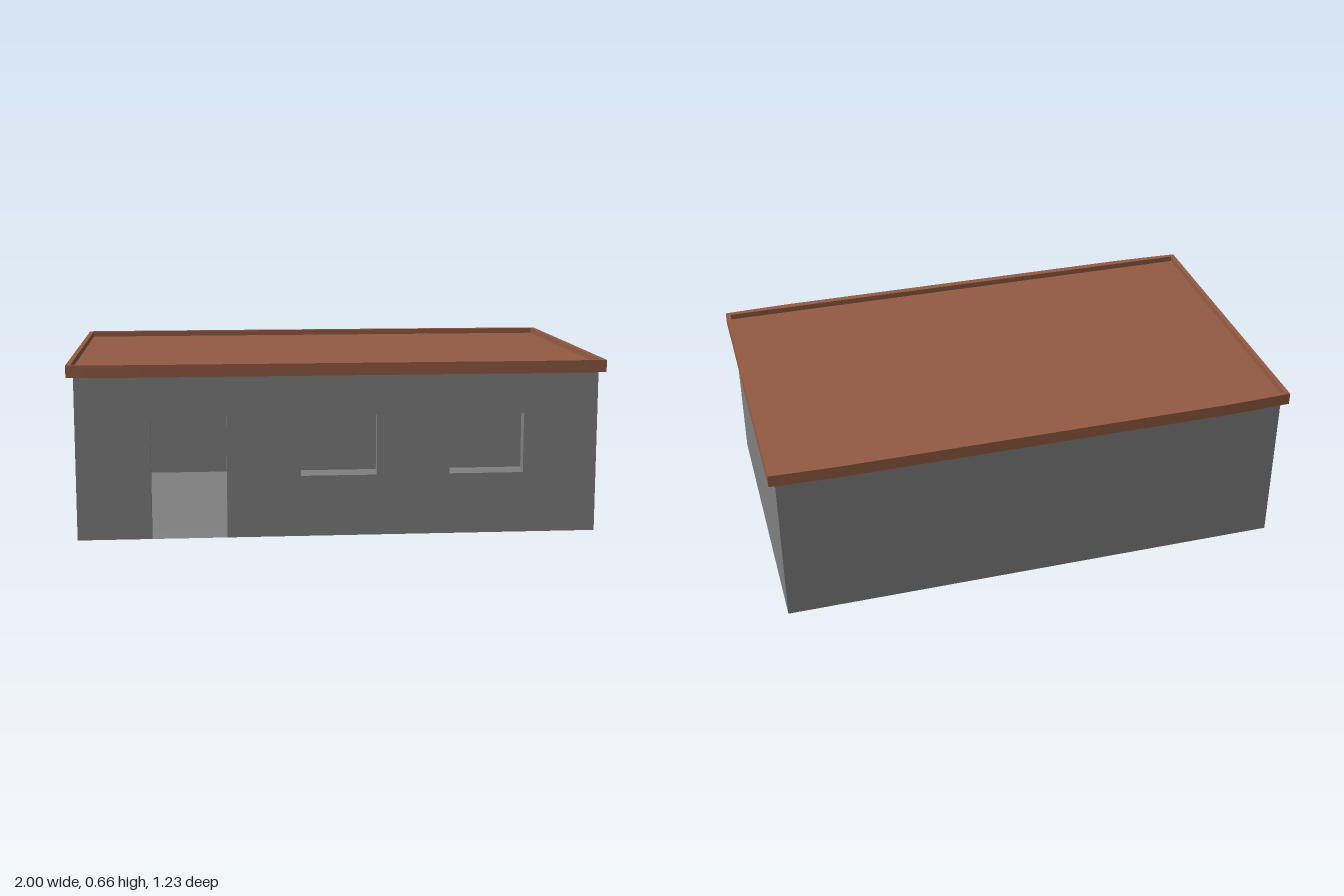
import * as THREE from 'three';

const W = 0.975, D = 0.585, H = 0.61, T = 0.035, FLOOR = 0.022;
const DOOR = { x0: -0.70, x1: -0.42, top: 0.457 };
const WINDOWS = [[-0.145, 0.14], [0.415, 0.695]];

const polygon = (points, Kind = THREE.Shape) =>
  new Kind(points.map(([x, y]) => new THREE.Vector2(x, y)));
const rect = (x0, y0, x1, y1) => [[x0, y0], [x1, y0], [x1, y1], [x0, y1]];
const extrude = (shape, depth) =>
  new THREE.ExtrudeGeometry(shape, { depth, bevelEnabled: false });

export function createModel() {
  const model = new THREE.Group();
  model.name = 'house';
  const wallGrey = new THREE.MeshStandardMaterial({ color: 0x808080 });
  wallGrey.name = 'wallGrey';
  const roofBrown = new THREE.MeshStandardMaterial({ color: 0x945b42 });
  roofBrown.name = 'roofBrown';

  const add = (name, geometry, material, x = 0, y = 0, z = 0) => {
    const mesh = new THREE.Mesh(geometry, material);
    mesh.name = name;
    mesh.position.set(x, y, z);
    model.add(mesh);
    return mesh;
  };

  // Front wall with a door notch and two window holes
  const front = polygon([
    [-W, 0], [DOOR.x0, 0], [DOOR.x0, DOOR.top], [DOOR.x1, DOOR.top],
    [DOOR.x1, 0], [W, 0], [W, H], [-W, H],
  ]);
  for (const [x0, x1] of WINDOWS) {
    front.holes.push(polygon(rect(x0, 0.23, x1, 0.457), THREE.Path));
  }
  add('frontWall', extrude(front, T), wallGrey, 0, 0, D - T);

  // Plain back and side walls
  add('backWall', new THREE.BoxGeometry(2 * W, H, T), wallGrey, 0, H / 2, -D + T / 2);
  for (const [name, s] of [['leftWall', 1], ['rightWall', -1]]) {
    add(name, new THREE.BoxGeometry(T, H, 2 * (D - T)), wallGrey, s * (W - T / 2), H / 2, 0);
  }

  // Floor slab inside the walls
  add('floor', new THREE.BoxGeometry(2 * (W - T), FLOOR, 2 * (D - T)), wallGrey, 0, FLOOR / 2, 0);

  // Sloped threshold in the doorway: a wedge extruded along x
  const ramp = extrude(polygon([[0, 0], [T, 0], [T, FLOOR]]), DOOR.x1 - DOOR.x0);
  ramp.rotateY(Math.PI / 2);
  add('doorRamp', ramp, wallGrey, DOOR.x0, 0, D);

  // Roof outline: long edges bow out slightly towards the middle
  const edge = [[1, 0.605], [0.93, 0.608], [0.84, 0.611], [0.73, 0.614]];
  const back = [...edge, ...edge.map(([x, z]) => [-x, z]).reverse()];
  const outline = [...back, ...back.map(([x, z]) => [-x, -z])];
  const flat = (shape, depth) => extrude(shape, depth).rotateX(-Math.PI / 2);

  add('roofSlab', flat(polygon(outline), 0.024), roofBrown, 0, H, 0);

  // Raised rim around the roof
  const rim = polygon(outline);
  rim.holes.push(polygon(rect(-0.983, -0.587, 0.983, 0.587), THREE.Path));
  add('roofRim', flat(rim, 0.022), roofBrown, 0, H + 0.024, 0);

  return model;
}
